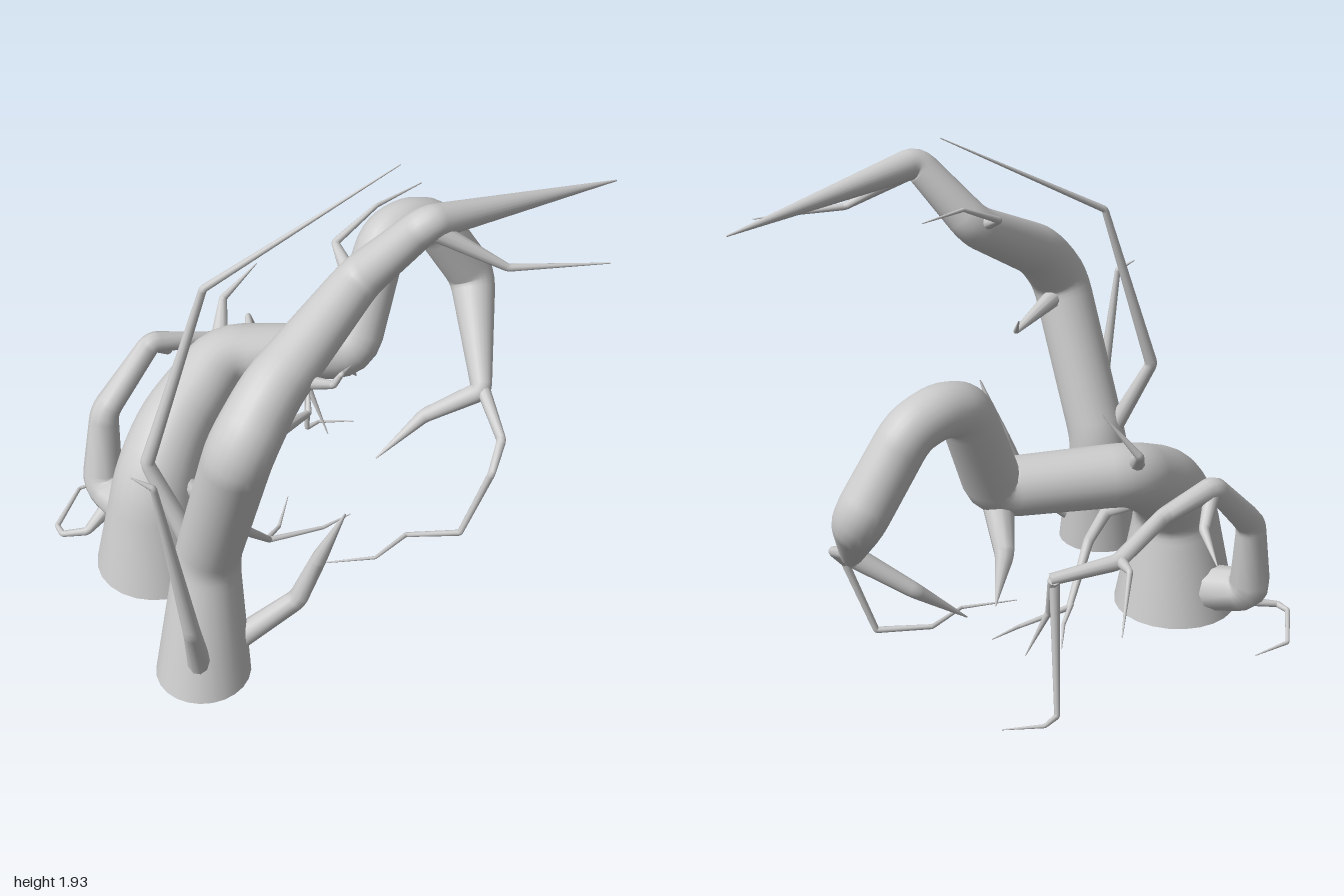
import * as THREE from 'three';

// Round the corners of a path of [x, y, z, radius] stations
function roundPath(points) {
  const p = points.map(a => new THREE.Vector4(...a));
  const out = [p[0]];
  const dist = (a, b) => Math.hypot(a.x - b.x, a.y - b.y, a.z - b.z);
  for (let i = 1; i < p.length - 1; i++) {
    const cut = q => p[i].clone().lerp(q, Math.min(0.4, 0.7 * p[i].w / dist(p[i], q)));
    const a = cut(p[i - 1]), b = cut(p[i + 1]);
    for (let k = 0; k <= 4; k++) {
      const t = k / 4;
      out.push(a.clone().lerp(p[i], t).lerp(p[i].clone().lerp(b, t), t));
    }
  }
  out.push(p[p.length - 1]);
  return out;
}

// Sweep a tapering circle along a path; the start is closed by a flat disc
function limbGeometry(points, sides, upright) {
  const st = roundPath(points);
  const c = st.map(s => new THREE.Vector3(s.x, s.y, s.z));
  const pos = [], idx = [];
  let tangent = null;
  const normal = new THREE.Vector3();
  c.forEach((o, i) => {
    const t = new THREE.Vector3();
    if (i > 0) t.add(o.clone().sub(c[i - 1]).normalize());
    if (i < c.length - 1) t.add(c[i + 1].clone().sub(o).normalize());
    if (i === 0 && upright) t.set(0, 1, 0);
    t.normalize();
    if (!tangent) {
      normal.set(1, 0, 0);
      if (Math.abs(t.x) > 0.8) normal.set(0, 0, 1);
    } else {
      normal.applyQuaternion(new THREE.Quaternion().setFromUnitVectors(tangent, t));
    }
    normal.addScaledVector(t, -normal.dot(t)).normalize();
    tangent = t;
    const side = t.clone().cross(normal);
    for (let j = 0; j <= sides; j++) {
      const a = (j % sides) / sides * Math.PI * 2;
      const v = o.clone().addScaledVector(normal, Math.cos(a) * st[i].w)
        .addScaledVector(side, Math.sin(a) * st[i].w);
      pos.push(v.x, Math.max(0, v.y), v.z);
    }
  });
  const row = sides + 1;
  for (let i = 0; i < c.length - 1; i++) {
    for (let j = 0; j < sides; j++) {
      const a = i * row + j, b = a + row;
      idx.push(a, a + 1, b, a + 1, b + 1, b);
    }
  }
  // Start disc with its own vertices
  const first = pos.length / 3;
  pos.push(...pos.slice(0, row * 3), c[0].x, c[0].y, c[0].z);
  for (let j = 0; j < sides; j++) idx.push(first + row, first + j + 1, first + j);
  const g = new THREE.BufferGeometry();
  g.setAttribute('position', new THREE.Float32BufferAttribute(pos, 3));
  g.setIndex(idx);
  g.computeVertexNormals();
  // Match the normals on the seam
  const n = g.attributes.normal;
  for (let i = 0; i < c.length; i++) {
    const a = i * row, b = a + sides;
    const v = new THREE.Vector3(n.getX(a) + n.getX(b), n.getY(a) + n.getY(b), n.getZ(a) + n.getZ(b)).normalize();
    n.setXYZ(a, v.x, v.y, v.z);
    n.setXYZ(b, v.x, v.y, v.z);
  }
  return g;
}

// Front tree: a slim trunk leaning over to +x
const frontTree = {
  trunk: [[-.71, 0, .46, .18], [-.645, .5, .395, .12], [-.62, 1.17, .65, .12], [-.47, 1.33, .59, .11],
    [-.05, 1.55, .435, .082], [.12, 1.8, .58, .062], [.97, 1.68, .49, .003]],
  leftShoot: [[-.74, .03, .51, .05], [-.83, .42, .65, .032], [-.94, 1.14, .66, .012], [-1, 1.18, .62, .002]],
  rightShoot: [[-.68, .05, .46, .05], [-.37, .31, .58, .038], [-.3, .52, .62, .03], [-.24, .77, .7, .003]],
  tallShoot: [[-.65, .42, .41, .045], [-.79, .87, .23, .026], [-.56, 1.57, .27, .014], [.12, 1.93, .4, .002]],
  middleTwig: [[-.62, 1.13, .62, .05], [-.26, 1.06, .46, .012], [-.22, 1.14, .38, .002]],
  frontTwig: [[-.42, 1.34, .57, .04], [-.29, 1.35, .69, .014], [-.27, 1.4, .71, .009], [-.2, 1.37, .65, .002]],
  topFrontTwig: [[.11, 1.79, .57, .04], [.36, 1.63, .72, .014], [.7, 1.61, .835, .002]],
  topBackTwig: [[-.08, 1.55, .44, .035], [-.06, 1.61, .28, .014], [.12, 1.69, .25, .008], [.34, 1.69, .19, .002]]
};

// Back tree: a flared trunk that arches over and droops
const backTree = {
  trunk: [[-.61, 0, -.18, .25], [-.6, .43, -.18, .165], [-.47, .6, -.26, .15], [-.2, .76, -.375, .122],
    [.27, .75, -.165, .112], [.47, 1.16, -.28, .1], [.59, 1.19, -.3, .098], [.72, 1.15, -.31, .095],
    [.91, .85, -.28, .098], [.76, .52, .06, .042], [.57, .37, -.07, .03], [.36, .2, -.1, .003]],
  droopingTwig: [[.77, .54, .04, .03], [.72, .43, .28, .02], [.64, .33, .34, .016], [.54, .015, .29, .013],
    [.34, .01, .19, .01], [.16, .01, .25, .007], [-.06, .01, .17, .002]],
  lowTwig: [[-.58, .5, -.16, .045], [-.43, .36, .055, .026], [-.35, .24, .07, .022], [-.18, .03, -.03, .013],
    [.06, .01, -.01, .008], [.2, .01, -.03, .002]],
  lowSideTwig: [[-.19, .04, -.03, .011], [-.1, .012, -.1, .008], [.02, .01, -.25, .002]],
  rearBranch: [[-.6, .1, -.25, .1], [-.7, .17, -.53, .085], [-.65, .5, -.57, .058], [-.41, .74, -.61, .044],
    [-.18, .68, -.6, .032], [.07, .59, -.65, .03], [.31, .56, -.57, .022]],
  rearTipTwig: [[.3, .56, -.58, .022], [.24, .36, -.47, .014], [.29, .15, -.39, .002]],
  rearHangingTwig: [[.29, .57, -.57, .02], [.31, .015, -.62, .011], [.38, .01, -.64, .008], [.52, .01, -.57, .002]],
  rearOuterTwig: [[.05, .59, -.64, .026], [.1, .61, -.76, .012], [.2, .42, -.85, .002]],
  rearUpperTwig: [[-.41, .73, -.61, .032], [-.31, .62, -.68, .02], [-.25, .55, -.83, .002]],
  groundTwig: [[-.68, .12, -.46, .04], [-.82, .03, -.43, .017], [-.91, .014, -.48, .013], [-.91, .012, -.54, .011],
    [-.74, .01, -.72, .008], [-.57, .01, -.72, .002]],
  crownTwig: [[-.23, .77, -.36, .045], [-.12, .91, -.53, .016], [0, 1.08, -.46, .002]],
  bendSpike: [[.27, .73, -.18, .065], [.34, .56, -.33, .036], [.43, .41, -.4, .002]]
};

export function createModel() {
  const model = new THREE.Group();
  const bark = new THREE.MeshStandardMaterial({ color: 0xcccccc });
  for (const [name, limbs] of Object.entries({ frontTree, backTree })) {
    const tree = new THREE.Group();
    tree.name = name;
    for (const [part, path] of Object.entries(limbs)) {
      const isTrunk = part === 'trunk';
      const mesh = new THREE.Mesh(limbGeometry(path, isTrunk ? 24 : 10, isTrunk), bark);
      mesh.name = part;
      tree.add(mesh);
    }
    model.add(tree);
  }
  return model;
}
